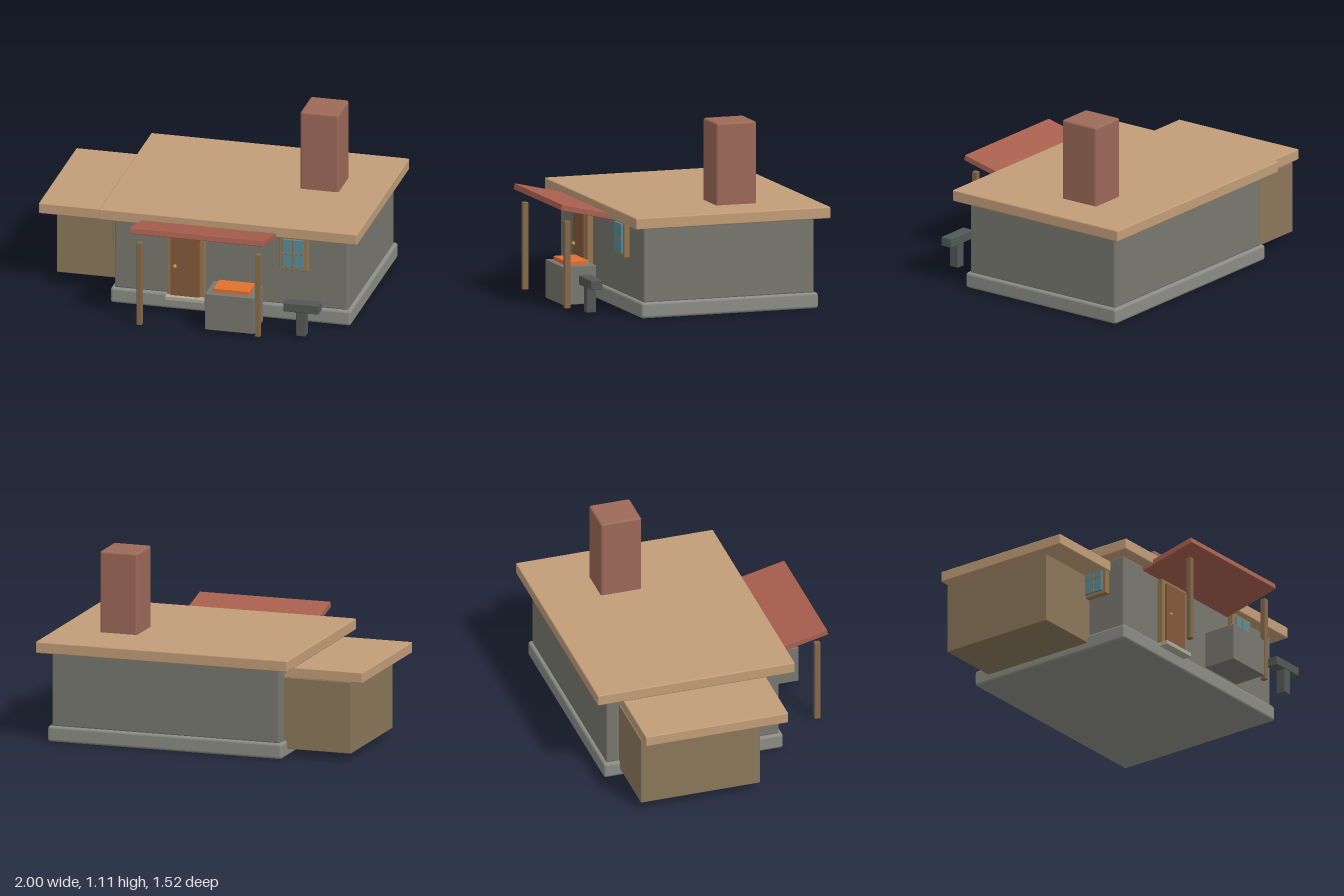
import * as THREE from 'three';
import { RoundedBoxGeometry } from 'three/addons/geometries/RoundedBoxGeometry.js';

const COLORS = {
  wall: 0x78776f, stone: 0x8b8c85, roof: 0xc29d78, brick: 0x9c6958, shed: 0x8b775a,
  awning: 0xa85f4e, post: 0x84694a, frame: 0x95774f, door: 0x85593a, glass: 0x5b8c98,
  step: 0xb0aa9c, ember: 0xe2702f, iron: 0x525856, brass: 0xc79a3c,
};
const materials = Object.fromEntries(
  Object.entries(COLORS).map(([key, color]) => [key, new THREE.MeshStandardMaterial({ color })]));

// Softly bevelled block spanning the given [min, max] ranges
function block(name, mat, x, y, z, bevel = 0.004) {
  const size = [x, y, z].map(([a, b]) => b - a);
  const mesh = new THREE.Mesh(new RoundedBoxGeometry(...size, 2, bevel), materials[mat]);
  mesh.position.set(...[x, y, z].map(([a, b]) => (a + b) / 2));
  mesh.name = name;
  return mesh;
}

// Window facing +z: frame panel, raised pane and crossed glazing bars
function makeWindow(name) {
  const g = new THREE.Group();
  g.name = name;
  g.add(
    block('windowFrame', 'frame', [-0.0875, 0.0875], [-0.11, 0.11], [0, 0.035]),
    block('windowPane', 'glass', [-0.063, 0.063], [-0.09, 0.09], [0.02, 0.046], 0.003),
    block('verticalBar', 'frame', [-0.004, 0.004], [-0.09, 0.09], [0.03, 0.048], 0.001),
    block('horizontalBar', 'frame', [-0.063, 0.063], [-0.004, 0.004], [0.03, 0.048], 0.001),
  );
  return g;
}

export function createModel() {
  const model = new THREE.Group();
  model.name = 'forgeCottage';

  // Main house
  model.add(
    block('foundation', 'stone', [-0.53, 0.94], [0, 0.095], [-0.70, 0.415], 0.016),
    block('walls', 'wall', [-0.51, 0.92], [0.09, 0.55], [-0.68, 0.395], 0.012),
    block('mainRoof', 'roof', [-0.585, 0.995], [0.545, 0.615], [-0.757, 0.47], 0.008),
    block('chimney', 'brick', [0.487, 0.722], [0.55, 1.107], [-0.39, -0.137], 0.014),
  );

  // Side shed
  model.add(
    block('shed', 'shed', [-0.93, -0.49], [0.045, 0.478], [-0.60, 0.14]),
    block('shedRoof', 'roof', [-1, -0.50], [0.475, 0.54], [-0.592, 0.295], 0.006),
  );

  // Door with frame, step and knob
  const door = new THREE.Group();
  door.name = 'doorway';
  const knob = new THREE.Mesh(new THREE.SphereGeometry(0.012, 16, 12), materials.brass);
  knob.name = 'knob';
  knob.position.set(-0.125, 0.29, 0.455);
  door.add(
    block('doorFrame', 'frame', [-0.18, 0.05], [0.09, 0.51], [0.39, 0.432]),
    block('doorPanel', 'door', [-0.155, 0.022], [0.10, 0.487], [0.41, 0.447]),
    block('doorStep', 'step', [-0.182, 0.05], [0.073, 0.10], [0.39, 0.47]),
    knob,
  );
  model.add(door);

  // Front window and side window
  const frontWindow = makeWindow('frontWindow');
  frontWindow.position.set(0.594, 0.437, 0.395);
  const sideWindow = makeWindow('sideWindow');
  sideWindow.position.set(-0.51, 0.437, 0.20);
  sideWindow.rotation.y = -Math.PI / 2;
  model.add(frontWindow, sideWindow);

  // Tilted awning on two posts
  const awning = block('awning', 'awning', [-0.325, 0.498], [-0.018, 0.018], [-0.187, 0.187]);
  awning.position.set(0.0865, 0.577, 0.575);
  awning.rotation.x = -0.228;
  model.add(awning);
  for (const x of [-0.273, 0.45]) {
    model.add(block('awningPost', 'post', [x - 0.016, x + 0.016], [0.005, 0.53], [0.69, 0.725]));
  }

  // Forge hearth with glowing coals
  model.add(
    block('hearth', 'wall', [0.13, 0.43], [0.02, 0.25], [0.515, 0.725]),
    block('coals', 'ember', [0.17, 0.39], [0.24, 0.275], [0.55, 0.69]),
  );

  // Anvil
  model.add(
    block('anvilTop', 'iron', [0.60, 0.815], [0.17, 0.225], [0.615, 0.688]),
    block('anvilLeg', 'iron', [0.677, 0.735], [0.02, 0.18], [0.625, 0.685]),
  );
  return model;
}
